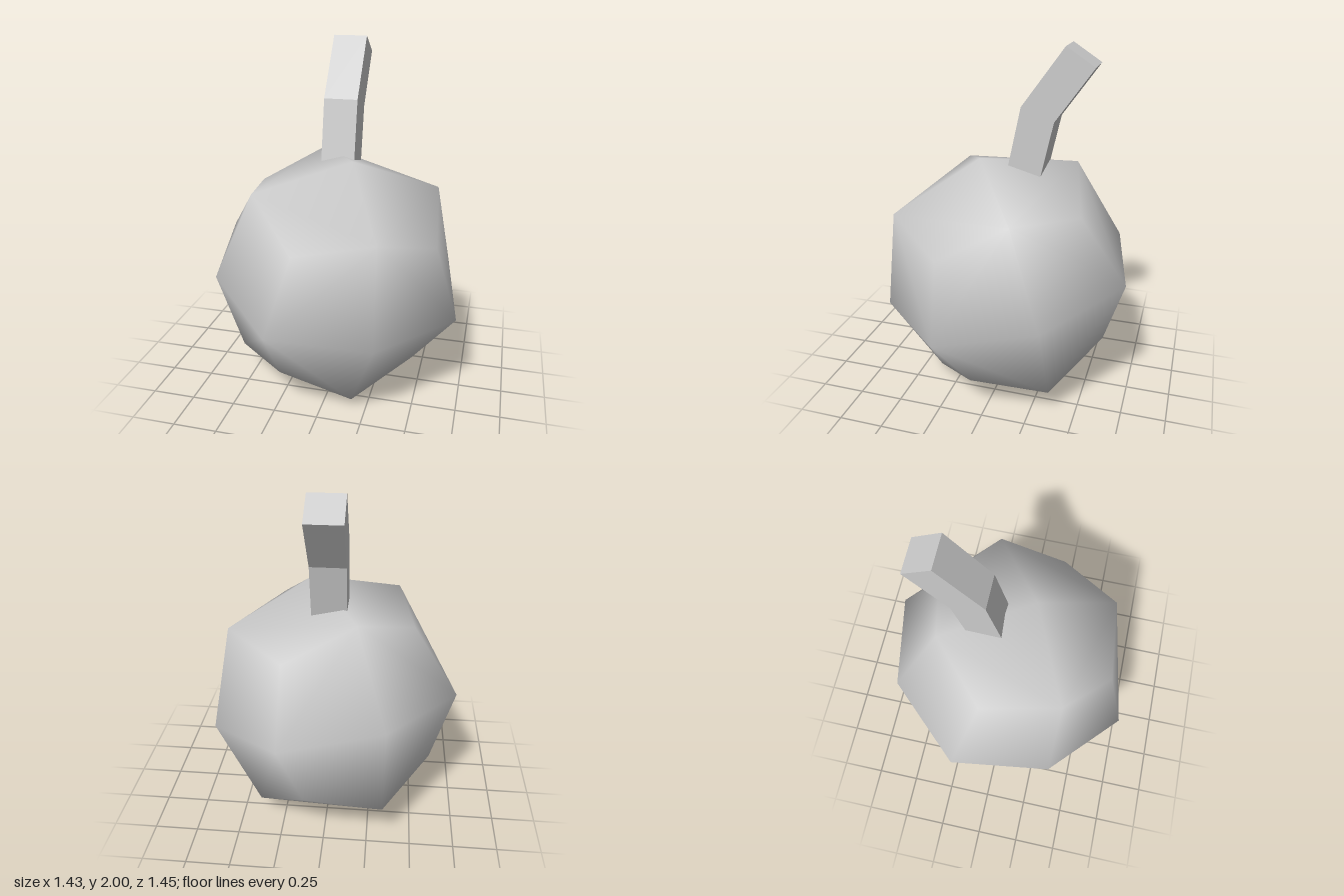
import * as THREE from 'three';
import { mergeVertices } from 'three/addons/utils/BufferGeometryUtils.js';
import { ConvexGeometry } from 'three/addons/geometries/ConvexGeometry.js';

const grey = (flatShading) => new THREE.MeshStandardMaterial({ color: 0xcccccc, flatShading });

// Round body: a cube subdivided and smoothed once (26 points), then tilted
function createBody() {
  const shrink = [0, 1, 0.75, 0.5556]; // face centre, edge middle, corner
  const tilt = new THREE.Matrix4().makeBasis(
    new THREE.Vector3(0.868, -0.052, -0.496),
    new THREE.Vector3(0.154, 0.973, 0.168),
    new THREE.Vector3(0.469, -0.221, 0.854),
  );
  const points = [];
  for (let x = -1; x <= 1; x++) {
    for (let y = -1; y <= 1; y++) {
      for (let z = -1; z <= 1; z++) {
        const order = Math.abs(x) + Math.abs(y) + Math.abs(z);
        if (order === 0) continue;
        points.push(new THREE.Vector3(x, y, z).multiplyScalar(0.714 * shrink[order]).applyMatrix4(tilt));
      }
    }
  }
  // Share the vertices so the shading is smooth
  let geometry = new ConvexGeometry(points);
  geometry.deleteAttribute('normal');
  geometry = mergeVertices(geometry, 1e-4);
  geometry.computeVertexNormals();
  const body = new THREE.Mesh(geometry, grey(false));
  body.name = 'body';
  body.position.y = 0.697;
  return body;
}

// Bent square stem: side profile (z, y) extruded across x
function createStem() {
  const profile = [
    [-0.02, 1.3], [-0.1, 1.68], [-0.33, 2.0],
    [-0.485, 1.9], [-0.28, 1.61], [-0.2, 1.25],
  ];
  const shape = new THREE.Shape(profile.map(([z, y]) => new THREE.Vector2(-z, y)));
  const geometry = new THREE.ExtrudeGeometry(shape, { depth: 0.19, bevelEnabled: false });
  geometry.rotateY(Math.PI / 2); // shape x becomes -z, depth becomes +x
  geometry.translate(-0.105, 0, 0);
  const stem = new THREE.Mesh(geometry, grey(true));
  stem.name = 'stem';
  return stem;
}

export function createModel() {
  const model = new THREE.Group();
  model.name = 'roundFruit';
  model.add(createBody(), createStem());
  return model;
}
